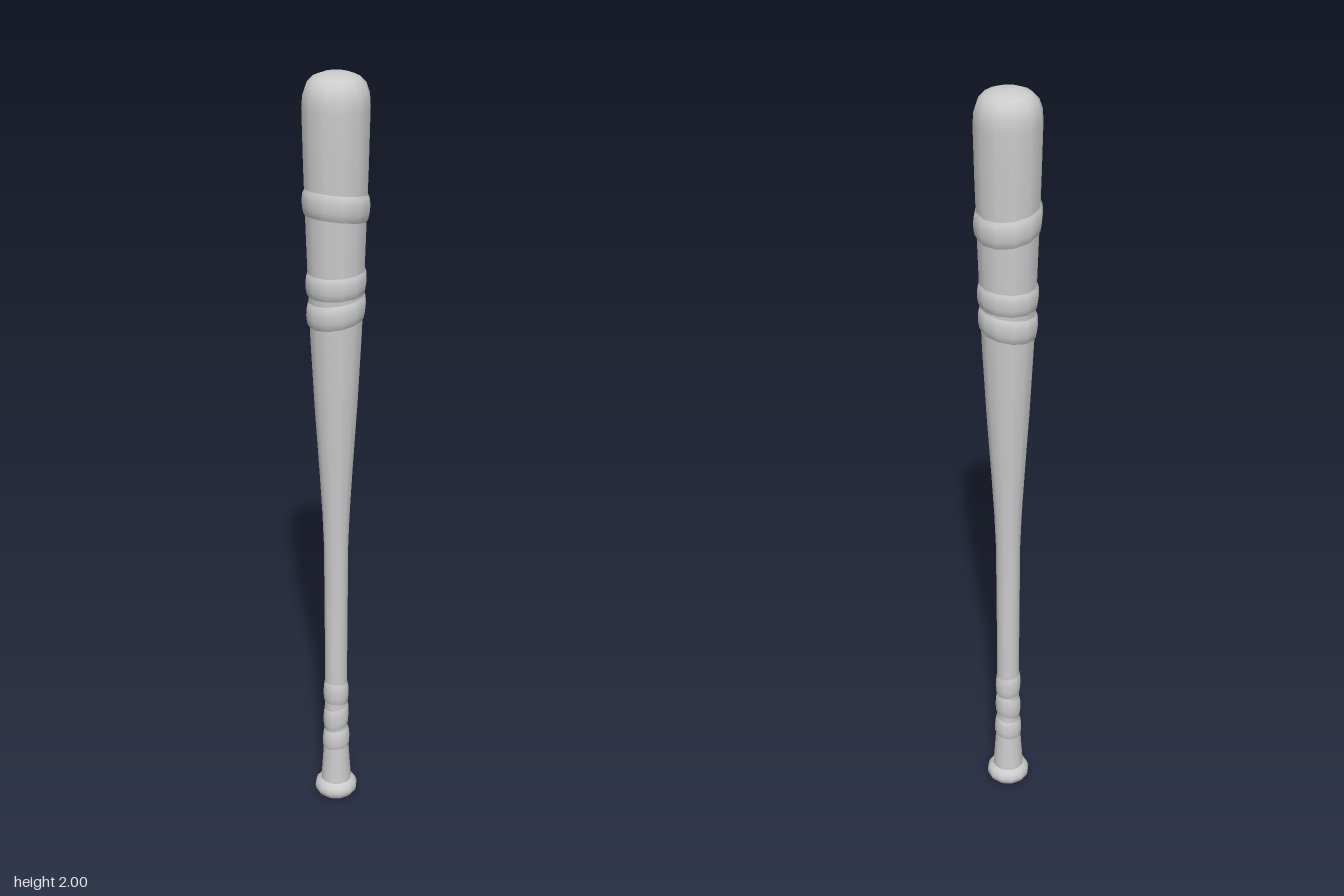
import * as THREE from 'three';

const SIDES = 12;
const material = new THREE.MeshStandardMaterial({ color: 0xcccccc, side: THREE.DoubleSide });

// Radius of the bat along its height, as [radius, y], from bottom to top
const shaft = [
  [0.042, 0.05], [0.039, 0.09], [0.035, 0.15], [0.031, 0.22], [0.030, 0.4], [0.031, 0.6], [0.032, 0.78],
  [0.036, 0.88], [0.043, 1.0], [0.054, 1.17], [0.064, 1.36], [0.069, 1.5],
  [0.074, 1.65], [0.078, 1.78], [0.081, 1.92],
];
const dome = [[0.079, 1.95], [0.071, 1.973], [0.056, 1.989], [0.032, 1.998], [0, 2]];
const knob = [
  [0, 0], [0.03, 0.002], [0.047, 0.008], [0.056, 0.018],
  [0.058, 0.03], [0.054, 0.042], [0.046, 0.05], [0.041, 0.054],
];

function turned(name, profile) {
  const points = profile.map(([r, y]) => new THREE.Vector2(r, y));
  const mesh = new THREE.Mesh(new THREE.LatheGeometry(points, SIDES), material);
  mesh.name = name;
  return mesh;
}

function radiusAt(y) {
  const i = Math.max(1, shaft.findIndex((p) => p[1] >= y));
  const [r0, y0] = shaft[i - 1];
  const [r1, y1] = shaft[i];
  return r0 + ((r1 - r0) * (y - y0)) / (y1 - y0);
}

// Bulging band around the shaft, sheared so it sits at a slant
function wrap(name, y0, y1, bulge, slantX, slantZ) {
  const profile = [];
  const steps = 6;
  for (let i = 0; i <= steps; i++) {
    const t = i / steps;
    const y = y0 + (y1 - y0) * t;
    const swell = Math.pow(Math.sin(Math.PI * t), 0.5) || 0;
    profile.push([radiusAt(y) - 0.002 + (bulge + 0.002) * swell, y]);
  }
  const mesh = turned(name, profile);
  const pos = mesh.geometry.attributes.position;
  for (let i = 0; i < pos.count; i++) {
    pos.setY(i, pos.getY(i) + slantX * pos.getX(i) + slantZ * pos.getZ(i));
  }
  return mesh;
}

export function createModel() {
  const bat = new THREE.Group();
  bat.name = 'baseballBat';
  bat.add(turned('shaft', [...shaft, ...dome]), turned('knob', knob));

  // Tape bands on the barrel
  bat.add(
    wrap('barrelWrapTop', 1.652, 1.725, 0.007, -0.13, 0.13),
    wrap('barrelWrapMiddle', 1.465, 1.53, 0.006, 0.05, 0.02),
    wrap('barrelWrapBottom', 1.393, 1.462, 0.007, 0.15, 0.02),
  );

  // Tape bands on the grip
  const grip = [[0.155, 0.22, 0.1, 0.05], [0.22, 0.295, 0.25, -0.1], [0.295, 0.37, -0.1, 0.1]];
  grip.forEach(([y0, y1, sx, sz], i) => bat.add(wrap(`gripWrap${i + 1}`, y0, y1, 0.004, sx, sz)));

  return bat;
}
